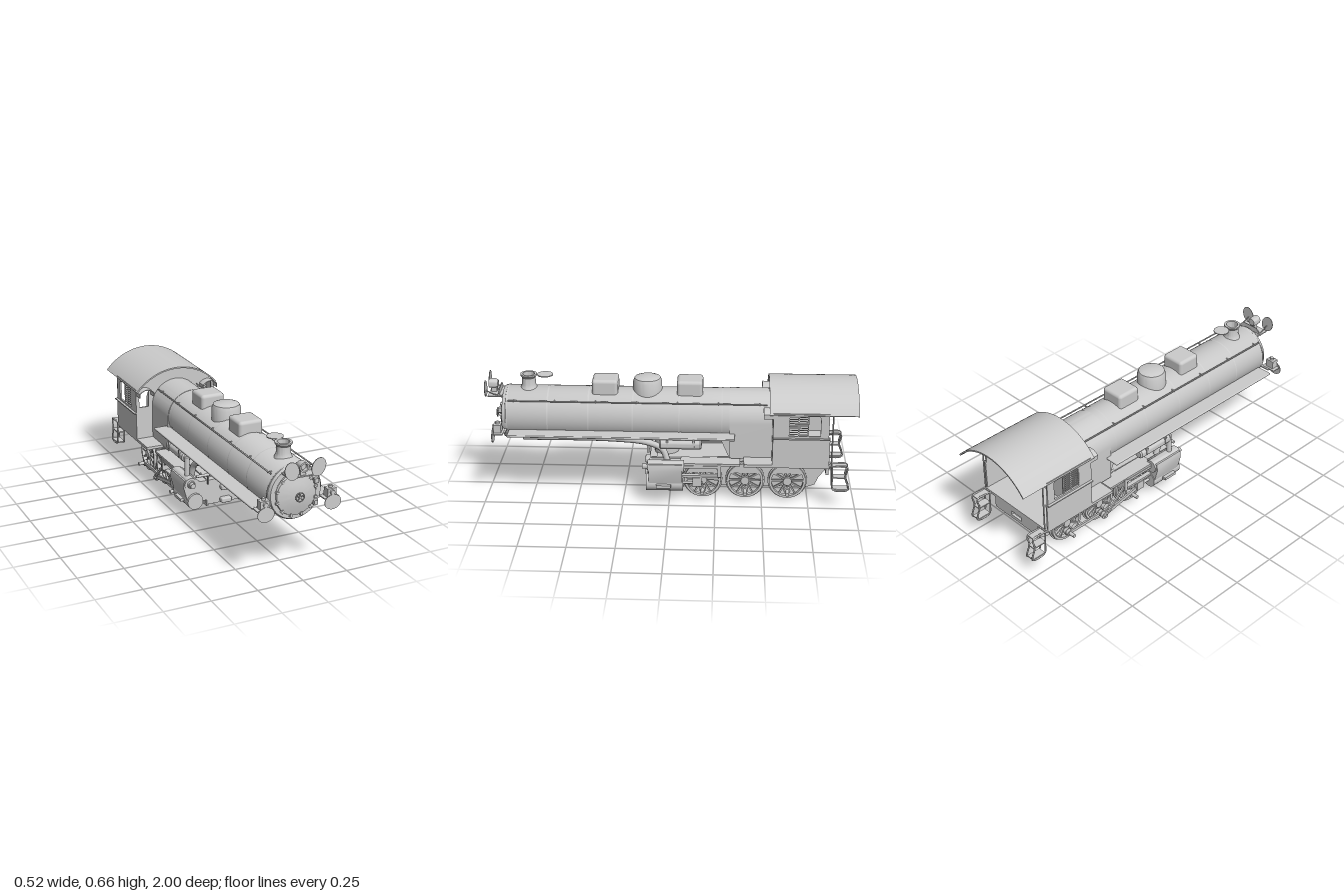
import * as THREE from 'three';
import { toCreasedNormals } from 'three/addons/utils/BufferGeometryUtils.js';
import { RoundedBoxGeometry } from 'three/addons/geometries/RoundedBoxGeometry.js';

const mat = new THREE.MeshStandardMaterial({ color: 0xcccccc, side: THREE.DoubleSide });
const V = (x, y, z) => new THREE.Vector3(x, y, z);
const SIDES = [-1, 1];

export function createModel() {
  const root = new THREE.Group();
  root.name = 'steamLocomotive';

  const add = (name, geo, x = 0, y = 0, z = 0, parent = root) => {
    const m = new THREE.Mesh(geo, mat);
    m.name = name;
    m.position.set(x, y, z);
    parent.add(m);
    return m;
  };
  const box = (name, w, h, d, x, y, z, parent) => add(name, new THREE.BoxGeometry(w, h, d), x, y, z, parent);
  // cylinder along a chosen axis
  const cyl = (name, r, len, axis, x, y, z, parent, seg = 24) => {
    const g = new THREE.CylinderGeometry(r, r, len, seg);
    if (axis === 'x') g.rotateZ(Math.PI / 2);
    if (axis === 'z') g.rotateX(Math.PI / 2);
    return add(name, g, x, y, z, parent);
  };
  const lathe = (pts, seg = 48) =>
    toCreasedNormals(new THREE.LatheGeometry(pts.map(p => new THREE.Vector2(...p)), seg), 0.6);
  const tube = (name, pts, r, parent) =>
    add(name, new THREE.TubeGeometry(new THREE.CatmullRomCurve3(pts, false, 'centripetal'), pts.length * 8, r, 10), 0, 0, 0, parent);
  const extrude = (shape, depth) =>
    toCreasedNormals(new THREE.ExtrudeGeometry(shape, { depth, bevelEnabled: false, curveSegments: 24 }), 0.6);
  const poly = pts => new THREE.Shape(pts.map(p => new THREE.Vector2(...p)));
  // outline drawn in (z, y), thickness centred on x
  const sidePlate = (name, shape, t, x) => add(name, extrude(shape, t).rotateY(-Math.PI / 2), x + t / 2, 0, 0);

  // Boiler with domed smokebox door
  const BY = 0.437, BR = 0.145;
  add('boiler', lathe([[0, -0.6], [BR, -0.6], [BR, 0.895], [0.139, 0.905], [0.112, 0.905]], 64).rotateX(Math.PI / 2), 0, BY, 0);
  const DY = 0.427;
  add('smokeboxDoor', lathe([[0.112, 0.9], [0.108, 0.912], [0.06, 0.925], [0, 0.932]]).rotateX(Math.PI / 2), 0, DY, 0);
  for (const z of [0.88, 0.66, 0.44, 0.2, -0.05, -0.28])
    add('boilerBand', new THREE.CylinderGeometry(BR + 0.002, BR + 0.002, 0.008, 64, 1, true).rotateX(Math.PI / 2), 0, BY, z);
  for (let i = 0; i < 12; i++) {
    const a = (i + 0.5) * Math.PI / 6;
    box('doorClamp', 0.012, 0.018, 0.014, Math.cos(a) * 0.109, DY + Math.sin(a) * 0.109, 0.912).rotation.z = a + Math.PI / 2;
  }
  for (const dy of [-0.058, 0.058]) box('doorHinge', 0.022, 0.024, 0.02, 0.105, DY + dy, 0.915);
  add('doorWheel', new THREE.TorusGeometry(0.023, 0.003, 8, 24), 0, DY, 0.95);
  for (let i = 0; i < 5; i++) {
    const s = box('doorWheelSpoke', 0.004, 0.023, 0.004, 0, DY, 0.95);
    s.geometry.translate(0, 0.0115, 0);
    s.rotation.z = i * Math.PI * 0.4;
  }
  cyl('doorSpindle', 0.006, 0.03, 'z', 0, DY, 0.94);
  add('frontHandrail', new THREE.TorusGeometry(0.15, 0.003, 8, 40, Math.PI), 0, 0.43, 0.885);

  // Firebox and backhead
  const fb = new THREE.Shape();
  fb.moveTo(-0.147, 0.24);
  fb.lineTo(0.147, 0.24);
  fb.lineTo(0.147, BY);
  fb.absarc(0, BY, 0.147, 0, Math.PI, false);
  add('firebox', extrude(fb, 0.32), 0, 0, -0.64);
  sidePlate('fireboxThroat', poly([[-0.32, 0.24], [-0.25, 0.4], [-0.32, 0.4]]), 0.27, 0);

  // Chimney, lid and domes
  add('chimney', lathe([[0.052, 0.565], [0.042, 0.585], [0.037, 0.6], [0.037, 0.637], [0.045, 0.648], [0.045, 0.656], [0.032, 0.656], [0.028, 0.58]]), 0, 0, 0.77);
  cyl('chimneyLid', 0.043, 0.005, 'y', 0, 0.652, 0.68, root, 32);
  for (const z of [0.353, -0.105]) add('sandBox', new RoundedBoxGeometry(0.136, 0.1, 0.14, 4, 0.018), 0, 0.595, z);
  add('steamDome', lathe([[0.08, 0.55], [0.078, 0.625], [0.07, 0.645], [0.05, 0.653], [0, 0.656]]), 0, 0, 0.125);

  // Headlamp on its bracket with two oval ears
  box('lampPlatform', 0.16, 0.006, 0.09, 0, 0.55, 0.94);
  add('lampBracket', extrude(poly([[-0.085, 0.548], [0.085, 0.548], [0.05, 0.583], [-0.05, 0.583]]), 0.005), 0, 0, 0.925);
  add('headlamp', lathe([[0, -0.025], [0.02, -0.025], [0.026, -0.01], [0.026, 0.024], [0.018, 0.024], [0.015, 0.01], [0, 0.01]], 32).rotateX(Math.PI / 2), 0, 0.597, 0.963);
  box('headlampFoot', 0.03, 0.03, 0.03, 0, 0.565, 0.96);
  for (const s of SIDES) {
    const ear = cyl('lampEar', 0.04, 0.004, 'z', s * 0.073, 0.592, 0.995, root, 32);
    ear.scale.set(0.95, 1.2, 1);
    ear.rotation.z = -s * 0.35;
    tube('earStay', [V(s * 0.07, 0.55, 0.9), V(s * 0.07, 0.56, 0.95), V(s * 0.07, 0.58, 0.995)], 0.003);

    // Marker lamps with oval plates
    box('markerBase', 0.085, 0.006, 0.05, s * 0.185, 0.387, 0.915);
    box('markerLamp', 0.05, 0.045, 0.04, s * 0.185, 0.414, 0.92);
    cyl('markerLens', 0.012, 0.014, 'z', s * 0.185, 0.418, 0.943);
    cyl('markerCap', 0.01, 0.014, 'y', s * 0.185, 0.442, 0.92);
    cyl('markerPlate', 0.046, 0.004, 'z', s * 0.185, 0.368, 0.948, root, 32).scale.y = 0.85;
    box('markerArm', 0.09, 0.006, 0.02, s * 0.15, 0.385, 0.89);

    // Running boards, handrails, pipes and tanks
    add('runningBoard', new RoundedBoxGeometry(0.09, 0.012, 1.22, 2, 0.005), s * 0.177, 0.377, 0.26);
    tube('boilerHandrail', [V(s * 0.12, 0.542, 0.87), V(s * 0.12, 0.542, -0.52)], 0.004);
    for (let z = 0.84; z > -0.5; z -= 0.22) box('railPost', 0.03, 0.005, 0.006, s * 0.108, 0.54, z);
    tube('steamPipe', [V(s * 0.148, 0.348, 0.79), V(s * 0.148, 0.345, 0.3), V(s * 0.145, 0.325, 0.12), V(s * 0.15, 0.29, 0.04), V(s * 0.155, 0.22, 0.01)], 0.017);
    add('airTank', lathe([[0, -0.115], [0.02, -0.113], [0.028, -0.105], [0.028, 0.105], [0.02, 0.113], [0, 0.115]], 24).rotateX(Math.PI / 2), s * 0.2, 0.342, -0.06);
    for (const z of [0.01, -0.13]) box('tankStrap', 0.06, 0.04, 0.01, s * 0.2, 0.355, z);
  }

  // Cylinder block and saddle
  const block = poly([[-0.107, 0.073], [0.107, 0.073], [0.107, 0.1], [0.22, 0.1], [0.247, 0.2], [0.24, 0.235], [0.17, 0.235], [0.15, 0.215],
    [-0.15, 0.215], [-0.17, 0.235], [-0.24, 0.235], [-0.247, 0.2], [-0.22, 0.1], [-0.107, 0.1]]);
  add('cylinderBlock', extrude(block, 0.18), 0, 0, -0.07);
  cyl('smokeboxSaddle', 0.066, 0.12, 'y', 0, 0.265, 0.02, root, 32);
  for (const y of [0.165, 0.09]) add('blockLug', new RoundedBoxGeometry(0.062, 0.028, 0.04, 2, 0.008), 0, y, 0.12);
  for (const s of SIDES) {
    cyl('mainCylinder', 0.045, 0.2, 'z', s * 0.182, 0.108, 0.025, root, 32);
    add('valveChest', lathe([[0, -0.08], [0.036, -0.08], [0.036, 0.115], [0.022, 0.115], [0.018, 0.122], [0.014, 0.122], [0.014, 0.145], [0, 0.145]], 32).rotateX(Math.PI / 2), s * 0.204, 0.21, 0);
    box('drainCock', 0.02, 0.016, 0.08, s * 0.238, 0.108, 0.03);
    cyl('pistonRod', 0.008, 0.12, 'z', s * 0.182, 0.108, -0.12, root, 12);
    box('crosshead', 0.03, 0.05, 0.05, s * 0.185, 0.118, -0.15);
    box('slideBar', 0.025, 0.012, 0.22, s * 0.185, 0.15, -0.17);
    box('motionBracket', 0.1, 0.075, 0.02, s * 0.16, 0.19, -0.27);
    box('valveRod', 0.014, 0.014, 0.2, s * 0.2, 0.21, -0.17);
    box('frameTopRail', 0.09, 0.012, 0.32, s * 0.16, 0.224, -0.22);
  }
  // Reach rod and its brackets on one side
  cyl('reachRod', 0.008, 0.19, 'x', -0.085, 0.255, 0.125, root, 12);
  for (const x of [-0.108, 0]) box('reachBracket', 0.008, 0.06, 0.012, x, 0.23, 0.125);
  cyl('pump', 0.014, 0.12, 'y', -0.203, 0.29, 0.06, root, 16);

  // Frame plates, stretcher and rear beam
  const frame = poly([[0.1, 0.06], [-0.75, 0.06], [-0.79, 0.075], [-0.81, 0.12], [-0.84, 0.16], [-0.85, 0.24], [0.1, 0.22]]);
  for (const s of SIDES) sidePlate('framePlate', frame, 0.015, s * 0.1);
  box('frameTop', 0.2, 0.015, 0.9, 0, 0.215, -0.38);
  for (const x of SIDES) box('rearBeam', 0.13, 0.075, 0.015, x * 0.105, 0.2, -0.85);
  box('rearBeamTop', 0.1, 0.03, 0.015, 0, 0.222, -0.85);
  box('rearBeamBottom', 0.1, 0.02, 0.015, 0, 0.173, -0.85);

  // Spoked wheels, axles and crank pins
  const WY = 0.107, wheelZ = [-0.18, -0.41, -0.64];
  const tyre = lathe([[0.086, -0.01], [0.107, -0.01], [0.107, -0.005], [0.1, -0.002], [0.099, 0.012], [0.086, 0.012], [0.086, -0.01]], 40).rotateZ(-Math.PI / 2);
  const weight = new THREE.Shape();
  weight.absarc(0, 0, 0.088, 0.5, Math.PI - 0.5, false);
  const weightGeo = extrude(weight, 0.014).rotateY(Math.PI / 2);
  for (const z of wheelZ) {
    cyl('axle', 0.012, 0.28, 'x', 0, WY, z, root, 16);
    for (const s of SIDES) {
      const w = new THREE.Group();
      w.name = 'wheel';
      w.position.set(s * 0.133, WY, z);
      w.scale.x = s;
      root.add(w);
      add('tyre', tyre, 0, 0, 0, w);
      cyl('hub', 0.023, 0.028, 'x', 0.002, 0, 0, w);
      add('counterweight', weightGeo, -0.005, 0, 0, w);
      for (let i = 0; i < 12; i++) {
        const sp = box('spoke', 0.012, 0.074, 0.008, 0, 0, 0, w);
        sp.geometry.translate(0, 0.054, 0);
        sp.rotation.x = i * Math.PI / 6;
      }
      cyl('crankBoss', 0.018, 0.026, 'x', 0.004, -0.055, 0, w);
      cyl('crankPin', 0.01, 0.07, 'x', 0.035, -0.055, 0, w, 16);
      if (s < 0) cyl('rodEnd', 0.018, 0.016, 'x', 0.028, -0.055, 0, w);
    }
  }
  // Side rod and main rod
  box('couplingRod', 0.01, 0.018, 0.46, -0.161, 0.052, -0.41);
  const rod = box('mainRod', 0.01, 0.02, 0.27, -0.185, 0.08, -0.28);
  rod.rotation.x = -0.2;
  cyl('mainRodEnd', 0.02, 0.016, 'x', -0.185, 0.052, -0.41);
  const link = box('valveLink', 0.01, 0.012, 0.2, -0.197, 0.135, -0.32);
  link.rotation.x = -0.75;

  // Cab floor, front wall with arched windows, and side walls
  box('cabFloor', 0.49, 0.016, 0.46, 0, 0.24, -0.63);
  const RC = 0.331, RR = 0.324, ang = Math.atan2(0.206, 0.246);
  const front = new THREE.Shape();
  front.moveTo(-0.246, 0.24);
  front.lineTo(0.246, 0.24);
  front.absarc(0, RC, RR - 0.006, ang, Math.PI - ang, false);
  for (const s of SIDES) {
    const h = new THREE.Path();
    h.moveTo(s * 0.198 - 0.029, 0.437);
    h.lineTo(s * 0.198 + 0.029, 0.437);
    h.lineTo(s * 0.198 + 0.029, 0.53);
    h.quadraticCurveTo(s * 0.198, 0.565, s * 0.198 - 0.029, 0.53);
    front.holes.push(h);
    // Hood over each front window
    const hood = new THREE.Shape();
    hood.moveTo(-0.045, 0.51);
    hood.lineTo(-0.045, 0.535);
    hood.quadraticCurveTo(0, 0.575, 0.045, 0.535);
    hood.lineTo(0.045, 0.51);
    hood.lineTo(0.041, 0.51);
    hood.lineTo(0.041, 0.533);
    hood.quadraticCurveTo(0, 0.57, -0.041, 0.533);
    hood.lineTo(-0.041, 0.51);
    add('windowHood', extrude(hood, 0.05), s * 0.198, 0, -0.55);

    const wall = poly([[-0.852, 0.235], [-0.55, 0.235], [-0.55, 0.545], [-0.845, 0.545], [-0.845, 0.41], [-0.852, 0.41]]);
    wall.holes.push(poly([[-0.8, 0.417], [-0.8, 0.52], [-0.79, 0.53], [-0.645, 0.53], [-0.635, 0.52], [-0.635, 0.417]]));
    sidePlate('cabSide', wall, 0.01, s * 0.241);
    for (let i = 0; i < 9; i++) box('louverSlat', 0.012, 0.004, 0.1, s * 0.238, 0.424 + i * 0.0125, -0.685).rotation.z = s * 0.5;
    for (const z of [-0.735, -0.685]) box('louverFrame', 0.008, 0.113, 0.006, s * 0.238, 0.473, z);
    box('windowSill', 0.02, 0.006, 0.3, s * 0.25, 0.404, -0.7);
    tube('cabGrabRail', [V(s * 0.235, 0.54, -0.865), V(s * 0.235, 0.26, -0.865)], 0.004);

    // Rear steps
    for (const x of [0.2, 0.242])
      tube('stepRail', [V(s * x, 0.242, -0.85), V(s * x, 0.242, -0.95), V(s * x, 0.18, -0.942), V(s * x, 0.11, -0.96), V(s * x, 0.108, -0.88), V(s * x, 0.17, -0.872), V(s * x, 0.24, -0.87)], 0.0045);
    for (const [y, z] of [[0.243, -0.91], [0.178, -0.908], [0.11, -0.918]]) box('stepTread', 0.046, 0.006, 0.08, s * 0.221, y, z);
  }
  add('cabFront', extrude(front, 0.01), 0, 0, -0.56);

  // Arched roof
  const ra = Math.asin(0.206 / RR);
  const roof = new THREE.Shape();
  roof.absarc(0, RC, RR, ra, Math.PI - ra, false);
  roof.absarc(0, RC, RR - 0.008, Math.PI - ra, ra, true);
  add('cabRoof', extrude(roof, 0.47), 0, 0, -1);

  return root;
}
